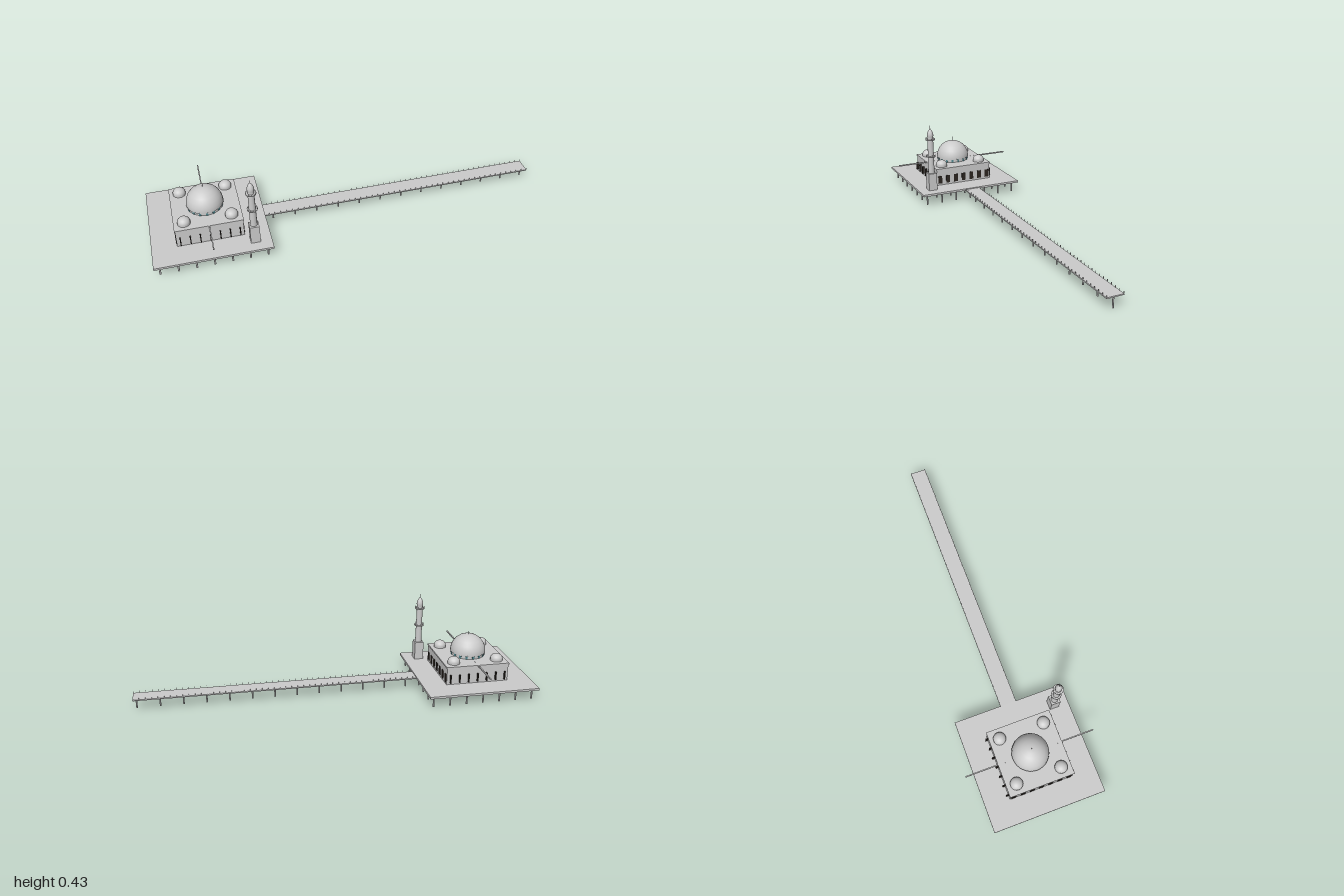
import * as THREE from 'three';

export function createModel() {
  const model = new THREE.Group();
  const grey = new THREE.MeshStandardMaterial({ color: 0xcccccc });
  const dark = new THREE.MeshStandardMaterial({ color: 0x2b2520 });
  const teal = new THREE.MeshStandardMaterial({ color: 0x4f858c });

  const add = (name, geo, x, y, z, mat = grey, parent = model) => {
    const mesh = new THREE.Mesh(geo, mat);
    mesh.name = name;
    mesh.position.set(x, y, z);
    parent.add(mesh);
    return mesh;
  };
  // y is the underside of the part
  const box = (name, w, h, d, x, y, z, mat, parent) =>
    add(name, new THREE.BoxGeometry(w, h, d), x, y + h / 2, z, mat, parent);
  const post = (name, r, h, x, y, z, sides = 8, parent = model, rTop = r) =>
    add(name, new THREE.CylinderGeometry(rTop, r, h, sides), x, y + h / 2, z, grey, parent);
  const dome = (name, r, h, x, y, z, sides, rings) => {
    const geo = new THREE.SphereGeometry(r, sides, rings, 0, Math.PI * 2, 0, Math.PI / 2);
    geo.scale(1, h / r, 1);
    return add(name, geo, x, y, z);
  };
  const group = (name, parent = model) => {
    const g = new THREE.Group();
    g.name = name;
    parent.add(g);
    return g;
  };

  const cx = -0.716;
  const roofY = 0.163;

  // Platform on a grid of stilts
  box('platform', 0.568, 0.011, 0.574, cx, 0.056, 0);
  const stilts = group('platformStilts');
  for (let i = -3; i <= 3; i++) {
    for (let j = -3; j <= 3; j++) {
      post('stilt', 0.0045, 0.057, cx + i * 0.0858, 0, j * 0.0858, 8, stilts);
    }
  }

  // Causeway with stilts and edge posts
  box('causewayDeck', 1.432, 0.006, 0.084, 0.284, 0.056, 0);
  const causewayStilts = group('causewayStilts');
  for (let i = 0; i < 13; i++) {
    post('stilt', 0.004, 0.057, 0.985 - i * 0.1142, 0, 0, 8, causewayStilts);
  }
  const edgePosts = group('causewayPosts');
  for (let i = 0; i < 48; i++) {
    for (const side of [-1, 1]) {
      box('edgePost', 0.002, 0.01, 0.002, 0.998 - i * 0.03, 0.062, side * 0.041, grey, edgePosts);
    }
  }

  // Prayer hall and roof
  box('hall', 0.324, 0.09, 0.324, cx, 0.066, 0);
  box('roof', 0.33, 0.008, 0.33, cx, 0.155, 0);
  box('crossBeam', 0.006, 0.007, 0.66, cx, 0.1565, 0);

  // Hall windows: flat panels on the sides, fins on front and back
  const windows = group('hallWindows');
  for (let i = -3; i <= 3; i++) {
    const offset = i * 0.0477;
    for (const side of [-1, 1]) {
      box('sideWindow', 0.005, 0.043, 0.023, cx + side * 0.162, 0.077, offset, dark, windows);
      box('endWindow', 0.005, 0.043, 0.023, cx + offset, 0.077, side * 0.163, dark, windows);
    }
  }

  // Main dome on a drum ringed with windows
  post('drum', 0.086, 0.02, cx, roofY, 0, 32);
  const drumWindows = group('drumWindows');
  for (let i = 0; i < 16; i++) {
    const a = (i / 16) * Math.PI * 2;
    const pane = box('drumWindow', 0.011, 0.014, 0.004,
      cx + Math.sin(a) * 0.0855, roofY, Math.cos(a) * 0.0855, teal, drumWindows);
    pane.rotation.y = a;
  }
  post('domeRim', 0.091, 0.003, cx, 0.179, 0, 32);
  dome('mainDome', 0.091, 0.09, cx, 0.181, 0, 32, 6);
  post('domeFinial', 0.001, 0.026, cx, 0.269, 0, 6);

  // Corner domes
  for (const sx of [-1, 1]) {
    for (const sz of [-1, 1]) {
      const x = cx + sx * 0.114, z = sz * 0.114;
      post('cornerDrum', 0.031, 0.01, x, roofY, z, 20);
      dome('cornerDome', 0.0315, 0.027, x, 0.172, z, 20, 6);
    }
  }

  // Minaret
  const minaret = group('minaret');
  minaret.position.set(-0.511, 0, 0.21);
  box('minaretBase', 0.047, 0.097, 0.047, 0, 0.066, 0, grey, minaret);
  post('minaretShaft', 0.0175, 0.21, 0, 0.16, 0, 12, minaret, 0.0155);
  for (const y of [0.256, 0.351]) {
    post('balcony', 0.026, 0.004, 0, y, 0, 12, minaret);
    for (let i = 0; i < 12; i++) {
      const a = (i / 12) * Math.PI * 2;
      box('balconyPost', 0.0015, 0.009, 0.0015,
        Math.cos(a) * 0.0245, y + 0.003, Math.sin(a) * 0.0245, grey, minaret);
    }
  }
  const cap = [[0.0155, 0.365], [0.0172, 0.376], [0.0165, 0.386], [0.0125, 0.398], [0.007, 0.408], [0, 0.416]]
    .map(([r, y]) => new THREE.Vector2(r, y));
  add('minaretCap', new THREE.LatheGeometry(cap, 16), 0, 0, 0, grey, minaret);
  post('minaretFinial', 0.001, 0.018, 0, 0.413, 0, 6, minaret);

  return model;
}
